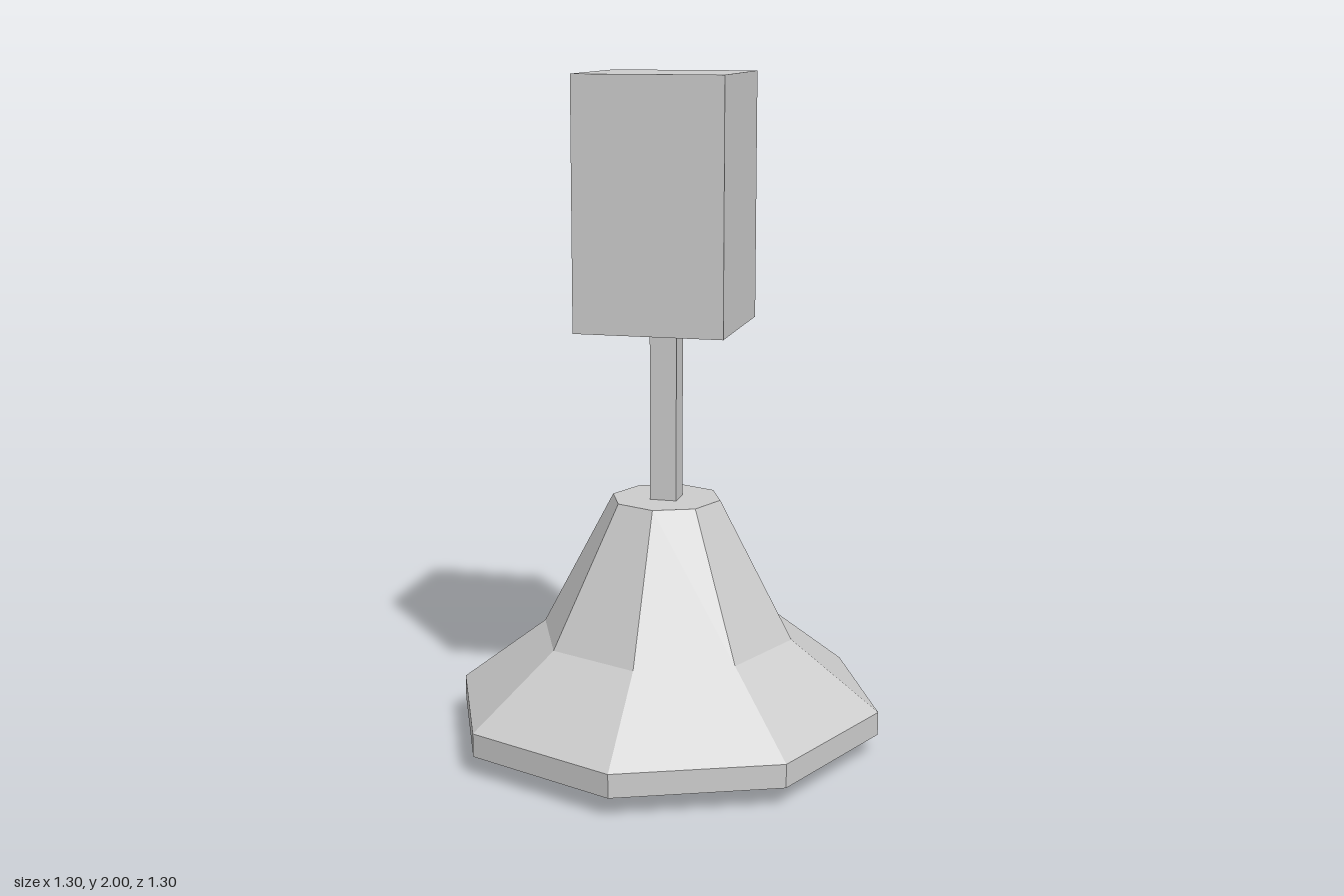
import * as THREE from 'three';

export function createModel() {
  const model = new THREE.Group();
  const material = new THREE.MeshStandardMaterial({ color: 0xcccccc, flatShading: true });

  const add = (name, geometry, y = 0) => {
    const mesh = new THREE.Mesh(geometry, material);
    mesh.name = name;
    mesh.position.y = y;
    model.add(mesh);
    return mesh;
  };
  const box = (name, width, bottom, top) =>
    add(name, new THREE.BoxGeometry(width, top - bottom, width), (bottom + top) / 2);
  const lathe = (name, sides, profile) =>
    add(name, new THREE.LatheGeometry(profile.map(([r, y]) => new THREE.Vector2(r, y)), sides));

  // Handle: square grip on a thin post
  box('grip', 0.44, 1.27, 2);
  box('post', 0.08, 0.75, 1.27);

  // Hollow octagonal bell: inside cone, rim, then outside flare up to the flat crown
  lathe('bell', 8, [
    [0, 0.62], [0.14, 0.62], [0.59, 0.06], [0.65, 0.06],
    [0.65, 0.13], [0.385, 0.335], [0.165, 0.75], [0, 0.75],
  ]);

  // Clapper: rod, collar and faceted striker with a pointed tip
  box('clapperRod', 0.08, 0.18, 0.64);
  lathe('clapperCollar', 6, [[0, 0.33], [0.12, 0.33], [0.12, 0.38], [0, 0.38]]);
  const striker = lathe('striker', 5, [[0, 0], [0.14, 0.09], [0.055, 0.2], [0, 0.2]]);
  striker.rotation.y = 0.3;

  return model;
}
